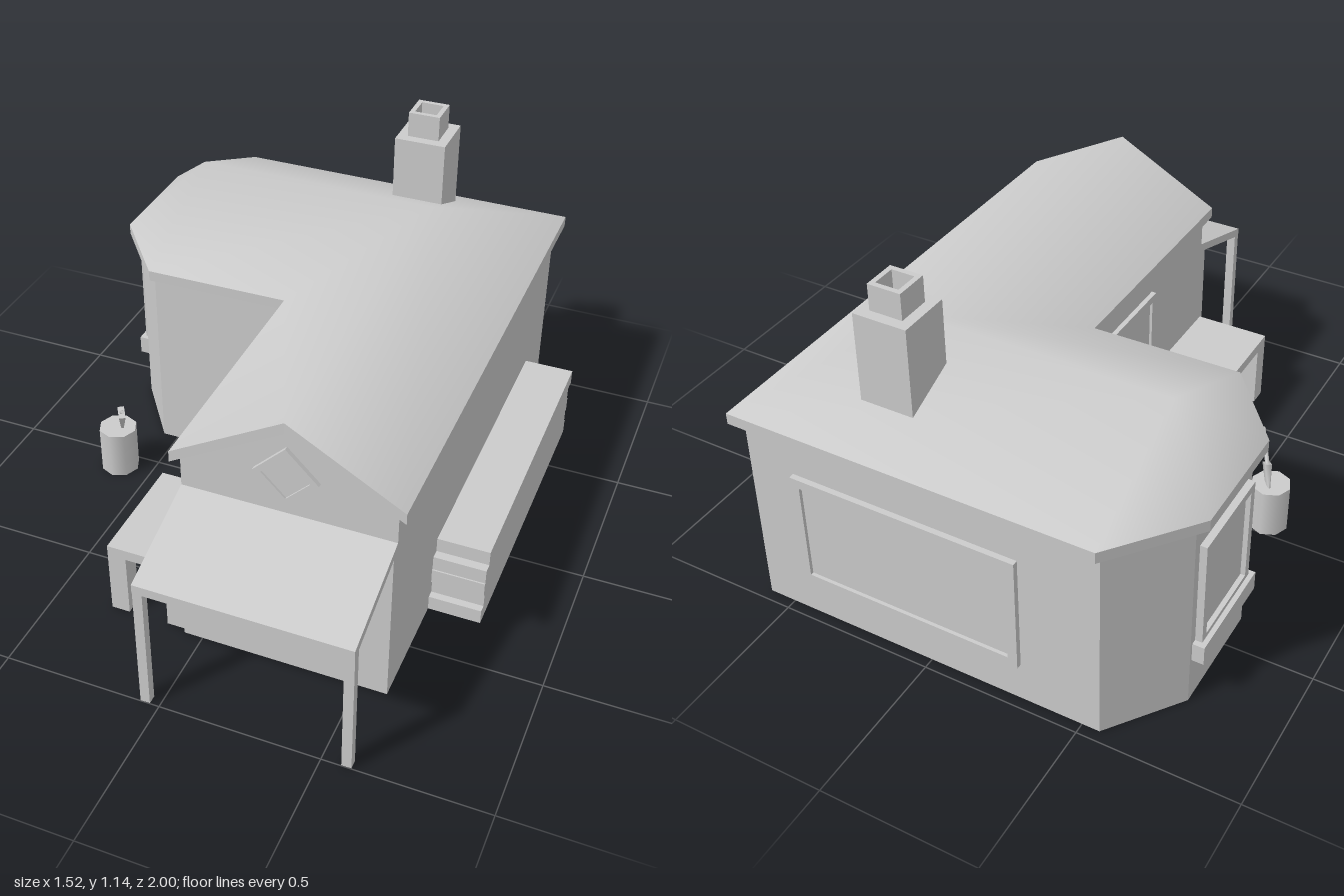
import * as THREE from 'three';

const grey = new THREE.MeshStandardMaterial({ color: 0xcccccc, side: THREE.DoubleSide });

function add(parent, name, geometry, x = 0, y = 0, z = 0) {
  const mesh = new THREE.Mesh(geometry, grey);
  mesh.name = name;
  mesh.position.set(x, y, z);
  parent.add(mesh);
  return mesh;
}

// Box given by its two opposite corners
function box(parent, name, [x0, x1], [y0, y1], [z0, z1]) {
  return add(parent, name, new THREE.BoxGeometry(x1 - x0, y1 - y0, z1 - z0),
    (x0 + x1) / 2, (y0 + y1) / 2, (z0 + z1) / 2);
}

// Polygons as lists of [x, y, z]; shared corners are smoothed on request
function polygons(faces, smooth = false) {
  const pos = [], index = [], seen = new Map();
  const corner = (p) => {
    const key = p.join();
    if (smooth && seen.has(key)) return seen.get(key);
    pos.push(...p);
    const i = pos.length / 3 - 1;
    seen.set(key, i);
    return i;
  };
  for (const face of faces) {
    const ids = face.map(corner);
    for (let i = 1; i < ids.length - 1; i++) index.push(ids[0], ids[i], ids[i + 1]);
  }
  const g = new THREE.BufferGeometry();
  g.setAttribute('position', new THREE.Float32BufferAttribute(pos, 3));
  g.setIndex(index);
  g.computeVertexNormals();
  return g;
}

// Rectangular frame with a recessed pane, facing local +z
function framed(parent, name, w, h, border, depth) {
  const group = new THREE.Group();
  group.name = name;
  const rect = (target, a, b) => {
    target.moveTo(-a, -b);
    target.lineTo(a, -b);
    target.lineTo(a, b);
    target.lineTo(-a, b);
    target.closePath();
    return target;
  };
  const shape = rect(new THREE.Shape(), w / 2, h / 2);
  shape.holes.push(rect(new THREE.Path(), w / 2 - border, h / 2 - border));
  const back = 0.01;
  add(group, name + 'Frame', new THREE.ExtrudeGeometry(shape, { depth: depth + back, bevelEnabled: false }), 0, 0, -back);
  add(group, name + 'Pane', new THREE.BoxGeometry(w - border * 2, h - border * 2, 0.01), 0, 0, 0.002);
  parent.add(group);
  return group;
}

function buildWalls(house) {
  const top = 0.665;
  const plan = [[0.59, 0.675], [0.59, -0.965], [-0.555, -0.965], [-0.72, -0.745],
    [-0.72, -0.38], [-0.555, -0.155], [-0.06, -0.155], [-0.06, 0.675]];
  const faces = plan.map(([x, z], i) => {
    const [u, w] = plan[(i + 1) % plan.length];
    const wall = [[x, 0, z], [u, 0, w], [u, top, w], [x, top, z]];
    // the last wall is the front and rises into the gable
    if (i === plan.length - 1) wall.splice(3, 0, [0.265, 0.85, z]);
    return wall;
  });
  add(house, 'walls', polygons(faces));
  box(house, 'frontLowerWall', [-0.06, 0.59], [0, 0.545], [0.67, 0.705]);
}

function buildRoof(house) {
  const eave = 0.695, ridge = 0.887, thick = 0.036;
  const a = [0.62, eave, 0.705], b = [0.62, eave, -1], c = [-0.56, eave, -1], d = [-0.76, eave, -0.75],
    e = [-0.76, eave, -0.375], f = [-0.56, eave, -0.125], g = [-0.08, eave, -0.13], h = [-0.08, eave, 0.705];
  const P = [0.265, ridge, 0.695], Q = [0.265, ridge, -0.5625], R = [-0.555, ridge, -0.5625];
  const slopes = [[a, b, Q, P], [b, c, R, Q], [c, d, R], [d, e, R], [e, f, R], [f, g, Q, R], [g, h, P, Q]];
  const low = ([x, y, z]) => [x, y - thick, z];
  add(house, 'roofTop', polygons(slopes, true));
  add(house, 'roofUnderside', polygons(slopes.map((s) => s.map(low).reverse())));
  const rim = [a, b, c, d, e, f, g, h, P];
  add(house, 'roofEdge', polygons(rim.map((p, i) => {
    const q = rim[(i + 1) % rim.length];
    return [p, low(p), low(q), q];
  })));
}

function buildChimney(house) {
  box(house, 'chimneyStack', [0.093, 0.265], [0.66, 1.053], [-0.838, -0.666]);
  // hollow flue
  const square = (s) => [[-s, -s], [s, -s], [s, s], [-s, s]].map(([x, y]) => new THREE.Vector2(x, y));
  const flue = new THREE.Shape(square(0.053));
  flue.holes.push(new THREE.Path(square(0.037)));
  const pot = add(house, 'chimneyFlue', new THREE.ExtrudeGeometry(flue, { depth: 0.087, bevelEnabled: false }), 0.179, 1.05, -0.752);
  pot.rotation.x = -Math.PI / 2;
}

function buildOpenings(house) {
  const back = framed(house, 'backWindow', 0.74, 0.39, 0.03, 0.018);
  back.position.set(0.065, 0.33, -0.965);
  back.rotation.y = Math.PI;

  const bay = framed(house, 'bayWindow', 0.31, 0.36, 0.025, 0.022);
  bay.position.set(-0.72, 0.385, -0.5625);
  bay.rotation.y = -Math.PI / 2;
  box(house, 'bayWindowSill', [-0.757, -0.71], [0.152, 0.215], [-0.735, -0.39]);

  const door = framed(house, 'sideDoor', 0.3, 0.58, 0.025, 0.016);
  door.position.set(-0.06, 0.29, 0.145);
  door.rotation.y = -Math.PI / 2;

  const diamond = framed(house, 'gableWindow', 0.14, 0.14, 0.018, 0.014);
  diamond.position.set(0.265, 0.695, 0.675);
  diamond.rotation.z = Math.PI / 4;
}

function buildPorch(house) {
  // sloping slab, drawn as a side profile (z, y)
  const profile = new THREE.Shape([[0.675, 0.56], [1, 0.455], [1, 0.425], [0.675, 0.532]]
    .map(([z, y]) => new THREE.Vector2(-z, y)));
  const slab = add(house, 'porchRoof', new THREE.ExtrudeGeometry(profile, { depth: 0.65, bevelEnabled: false }), -0.06);
  slab.rotation.y = Math.PI / 2;
  for (const x of [-0.06, 0.56]) box(house, 'porchPost', [x, x + 0.03], [0, 0.435], [0.97, 0.998]);
}

function buildYard(house) {
  // stacked timber along the left wall
  const rows = [[-0.71, 0.325], [-0.7, 0.3], [-0.71, 0.31], [-0.7, 0.305], [-0.738, 0.275]];
  rows.forEach((z, i) => box(house, 'timberRow', [0.585, 0.757], [i * 0.049, (i + 1) * 0.049], z));

  // workbench beside the right wall
  box(house, 'benchTop', [-0.315, -0.06], [0.215, 0.25], [0.315, 0.69]);
  for (const x of [-0.315, -0.125])
    for (const z of [0.315, 0.63]) box(house, 'benchLeg', [x, x + 0.06], [0, 0.22], [z, z + 0.06]);

  // chopping block with an axe
  add(house, 'choppingBlock', new THREE.CylinderGeometry(0.065, 0.065, 0.165, 8), -0.617, 0.0825, 0.058);
  const axe = new THREE.Group();
  axe.name = 'axe';
  axe.position.set(-0.605, 0.21, 0.05);
  axe.rotation.y = -0.985;
  house.add(axe);
  const handle = add(axe, 'axeHandle', new THREE.CylinderGeometry(0.007, 0.007, 0.15, 6), 0.05, 0.05, 0);
  handle.rotation.z = -0.94;
  const head = new THREE.CylinderGeometry(0.032, 0.04, 0.075, 4, 1);
  head.rotateY(Math.PI / 4);
  // narrow to a wedge at the cutting edge
  const p = head.attributes.position;
  for (let i = 0; i < p.count; i++) p.setZ(i, p.getZ(i) * (p.getY(i) > 0 ? 0.5 : 0.1));
  head.computeVertexNormals();
  add(axe, 'axeHead', head, 0, -0.01, 0).rotation.z = -0.45;
}

export function createModel() {
  const house = new THREE.Group();
  house.name = 'cottage';
  buildWalls(house);
  buildRoof(house);
  buildChimney(house);
  buildOpenings(house);
  buildPorch(house);
  buildYard(house);
  return house;
}
